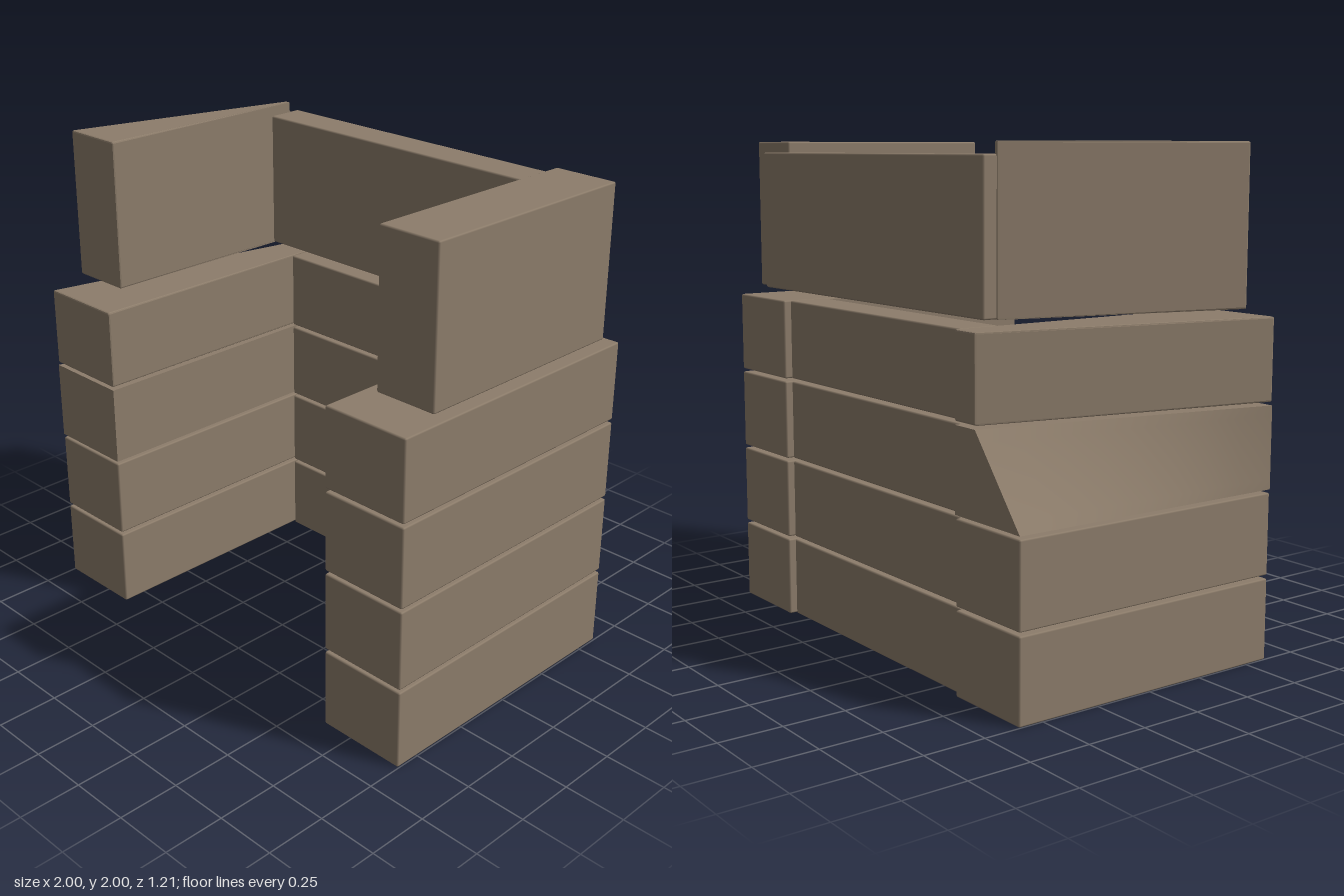
import * as THREE from 'three';
import { RoundedBoxGeometry } from 'three/addons/geometries/RoundedBoxGeometry.js';

const stone = new THREE.MeshStandardMaterial({ color: 0x8d7d6b });
stone.name = 'brown stone';

const ROW_PITCH = 0.34, ROW_HEIGHT = 0.327, BEVEL = 0.007;

// A finely bevelled block given by its [min, max] extents
function block(name, [x0, x1], [y0, y1], [z0, z1]) {
  const geometry = new RoundedBoxGeometry(x1 - x0, y1 - y0, z1 - z0, 1, BEVEL);
  geometry.translate((x0 + x1) / 2, (y0 + y1) / 2, (z0 + z1) / 2);
  const mesh = new THREE.Mesh(geometry, stone);
  mesh.name = name;
  return mesh;
}

// Pulls the outer (-x) rear of a geometry inwards to backX; the pull fades to
// nothing at the front, and also towards the bottom when sloped is true
function cutRearCorner(geometry, backX, sloped = false) {
  geometry.computeBoundingBox();
  const { min, max } = geometry.boundingBox;
  const p = geometry.attributes.position;
  for (let i = 0; i < p.count; i++) {
    const across = (max.x - p.getX(i)) / (max.x - min.x);
    const rear = (max.z - p.getZ(i)) / (max.z - min.z);
    const up = sloped ? (p.getY(i) - min.y) / (max.y - min.y) : 1;
    p.setX(i, p.getX(i) + across * rear * up * (backX - min.x));
  }
  geometry.computeVertexNormals();
}

export function createModel() {
  const group = new THREE.Group();
  group.name = 'chimneyWalls';

  const sideZ = [-0.604, 0.604];
  const rightX = [-1, -0.62], leftX = [0.615, 0.997];

  // Four courses: two side walls and a rear wall
  for (let row = 0; row < 4; row++) {
    const y = [row * ROW_PITCH, row * ROW_PITCH + ROW_HEIGHT];
    group.add(block('leftWallBlock' + row, leftX, y, sideZ));
    group.add(block('rearWallBlock' + row, [-0.613, 0.608], y, [-0.578, -0.408]));

    if (row === 2) {
      // Block whose outer face twists from square at its foot to cut at its top
      const geometry = new THREE.BoxGeometry(rightX[1] - rightX[0], ROW_HEIGHT, sideZ[1] - sideZ[0], 1, 8, 8);
      geometry.translate((rightX[0] + rightX[1]) / 2, (y[0] + y[1]) / 2, 0);
      cutRearCorner(geometry, -0.74, true);
      const mesh = new THREE.Mesh(geometry, stone);
      mesh.name = 'slopedRightWallBlock';
      group.add(mesh);
    } else {
      const wall = block('rightWallBlock' + row, rightX, y, sideZ);
      if (row === 3) cutRearCorner(wall.geometry, -0.74);
      group.add(wall);
    }
  }

  // Tall upper slabs standing on the courses
  const capY = [1.384, 2], capZ = [-0.508, 0.457];
  group.add(block('leftUpperSlab', [0.722, 0.99], capY, capZ));
  const rightSlab = block('rightUpperSlab', [-0.997, -0.727], capY, capZ);
  cutRearCorner(rightSlab.geometry, -0.742);
  group.add(rightSlab);
  group.add(block('rearUpperSlab', [-0.738, 0.838], [1.386, 1.955], [-0.565, -0.405]));

  return group;
}
